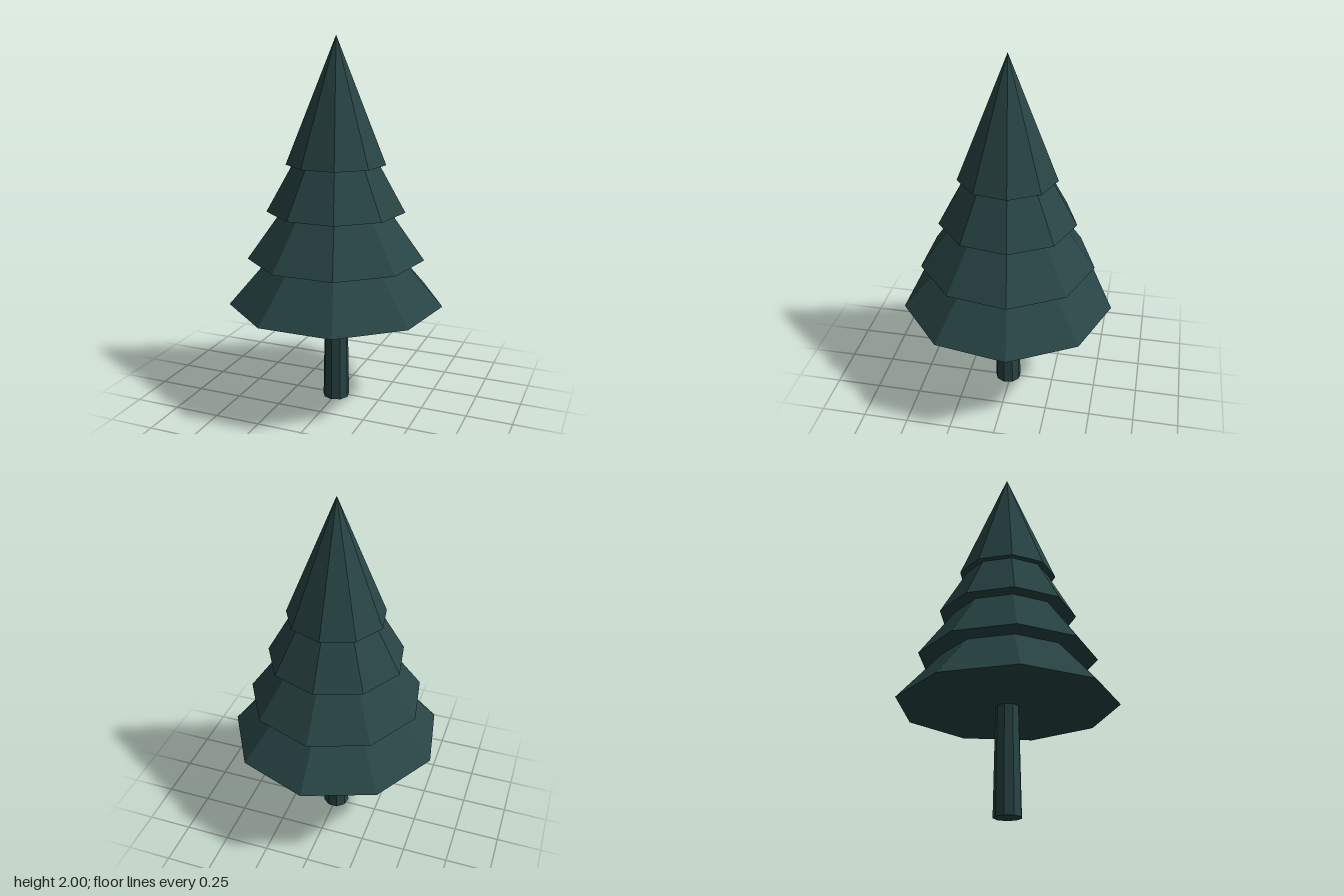
import * as THREE from 'three';

const SIDES = 9;
const TIER_HEIGHT = 0.665;

export function createModel() {
  const tree = new THREE.Group();
  tree.name = 'pineTree';

  const darkGreen = new THREE.MeshStandardMaterial({ color: 0x284444, flatShading: true });
  darkGreen.name = 'dark green';

  // the nine-sided outline sits slightly forward so its bounds are centred
  const axisZ = 0.016;

  const addPart = (name, geometry, y) => {
    const mesh = new THREE.Mesh(geometry, darkGreen);
    mesh.name = name;
    mesh.position.set(0, y, axisZ);
    tree.add(mesh);
    return mesh;
  };

  // tapered trunk, reaching a little into the lowest tier
  const trunkHeight = 0.62;
  addPart('trunk', new THREE.CylinderGeometry(0.062, 0.074, trunkHeight, SIDES), trunkHeight / 2);

  // four stacked cones of equal height, each narrower than the one below
  const tiers = [
    ['lowestBranches', 0.586, 0.573],
    ['lowerBranches', 0.481, 0.827],
    ['upperBranches', 0.375, 1.084],
    ['treetop', 0.269, 1.335],
  ];
  for (const [name, radius, base] of tiers) {
    const cone = new THREE.ConeGeometry(radius, TIER_HEIGHT, SIDES);
    cone.rotateY(Math.PI); // one corner points straight back
    addPart(name, cone, base + TIER_HEIGHT / 2);
  }

  return tree;
}
